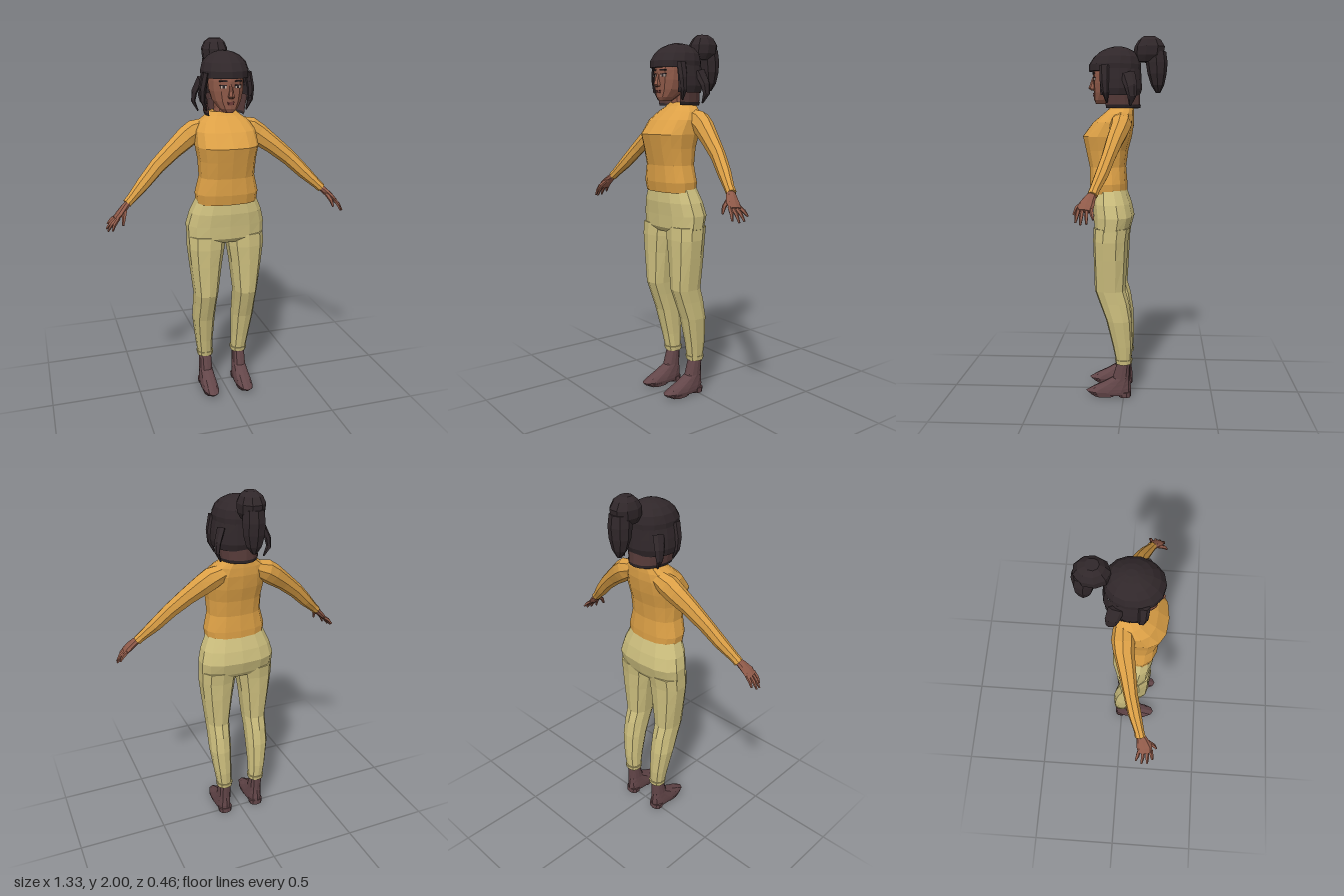
import * as THREE from 'three';

const mat = (name, color, side = THREE.FrontSide) => {
  const m = new THREE.MeshStandardMaterial({ color, side });
  m.name = name;
  return m;
};
const V3 = (x, y, z) => new THREE.Vector3(x, y, z);
const pw = (v, p) => Math.sign(v) * Math.abs(v) ** p;

// Faceted skin through a list of rings; closed rings also get end caps
function skin(rings, closed = true) {
  const out = [], n = rings[0].length;
  const tri = (...pts) => pts.forEach(p => out.push(p.x, p.y, p.z));
  for (let r = 0; r < rings.length - 1; r++) {
    const a = rings[r], b = rings[r + 1];
    for (let i = 0; i < (closed ? n : n - 1); i++) {
      const j = (i + 1) % n;
      tri(a[i], a[j], b[j]);
      tri(a[i], b[j], b[i]);
    }
  }
  if (closed) {
    const cap = (ring, flip) => {
      const c = ring.reduce((s, p) => s.add(p), V3(0, 0, 0)).divideScalar(n);
      ring.forEach((p, i) => {
        const q = ring[(i + 1) % n];
        flip ? tri(c, q, p) : tri(c, p, q);
      });
    };
    cap(rings[0], true);
    cap(rings[rings.length - 1], false);
  }
  const g = new THREE.BufferGeometry();
  g.setAttribute('position', new THREE.Float32BufferAttribute(out, 3));
  g.computeVertexNormals();
  return g;
}

// Level sections [y, centreX, halfWidth, frontZ, backZ], bottom to top; arc > 0 leaves the front open
function levels(rows, n = 12, p = 0.85, arc = 0) {
  return skin(rows.map(([y, cx, w, f, b]) => {
    const count = arc ? n + 1 : n, ring = [];
    for (let i = 0; i < count; i++) {
      const a = arc + (i / n) * (Math.PI * 2 - 2 * arc);
      ring.push(V3(cx + w * pw(Math.sin(a), p), y, (f + b) / 2 + (f - b) / 2 * pw(Math.cos(a), p)));
    }
    return ring;
  }), !arc);
}

// Limb along a path of [x, y, z, radius toward ref, other radius]
function limb(rows, n = 8, ref = V3(0, 0, 1)) {
  const pts = rows.map(r => V3(r[0], r[1], r[2]));
  return skin(rows.map((r, k) => {
    const t = pts[Math.min(k + 1, pts.length - 1)].clone().sub(pts[Math.max(k - 1, 0)]).normalize();
    const u = ref.clone().addScaledVector(t, -ref.dot(t)).normalize();
    const v = t.clone().cross(u);
    return Array.from({ length: n }, (_, i) => {
      const a = (i / n) * Math.PI * 2;
      return pts[k].clone().addScaledVector(u, r[3] * Math.cos(a)).addScaledVector(v, r[4] * Math.sin(a));
    });
  }));
}

export function createModel() {
  const model = new THREE.Group();
  const M = {
    skin: mat('skin', 0x8f5a49),
    nape: mat('nape brown', 0x583c3a, THREE.DoubleSide),
    hair: mat('dark hair', 0x30272a, THREE.DoubleSide),
    sweater: mat('mustard sweater', 0xdca046),
    pants: mat('khaki pants', 0xcdbf7e),
    boots: mat('brown boots', 0x634649),
    eyeWhite: mat('eye white', 0xc9b5a8),
    lips: mat('lips', 0x6f3c38),
  };
  const add = (name, geo, m, parent = model) => {
    const mesh = new THREE.Mesh(geo, m);
    mesh.name = name;
    parent.add(mesh);
    return mesh;
  };
  const plate = (name, size, pos, rotY, m) => {
    const mesh = add(name, new THREE.BoxGeometry(...size), m);
    mesh.position.set(...pos);
    mesh.rotation.y = rotY;
  };

  // Torso and hips
  add('sweaterBody', levels([
    [1.155, 0, 0.166, 0.185, -0.015], [1.21, 0, 0.172, 0.195, -0.015], [1.3, 0, 0.15, 0.195, -0.008],
    [1.39, 0, 0.155, 0.215, -0.02], [1.465, 0, 0.168, 0.232, -0.04], [1.54, 0, 0.162, 0.175, -0.052],
    [1.585, 0, 0.135, 0.12, -0.052], [1.615, 0, 0.095, 0.085, -0.05], [1.635, 0, 0.07, 0.07, -0.042],
  ], 14, 0.8), M.sweater);
  add('hips', levels([
    [0.935, 0, 0.19, 0.15, -0.02], [0.96, 0, 0.216, 0.168, -0.035], [1.03, 0, 0.218, 0.172, -0.055],
    [1.1, 0, 0.2, 0.178, -0.04], [1.19, 0, 0.16, 0.17, -0.008],
  ], 14, 0.8), M.pants);

  for (const s of [1, -1]) {
    const side = s > 0 ? 'left' : 'right';
    // Legs
    add(side + 'Leg', levels([
      [0.2, s * 0.103, 0.042, 0.042, -0.042], [0.3, s * 0.11, 0.05, 0.062, -0.05],
      [0.45, s * 0.117, 0.063, 0.098, -0.045], [0.55, s * 0.116, 0.064, 0.135, -0.03],
      [0.62, s * 0.115, 0.067, 0.16, -0.01], [0.8, s * 0.115, 0.09, 0.165, -0.02],
      [0.9, s * 0.112, 0.104, 0.168, -0.025], [0.97, s * 0.108, 0.107, 0.165, -0.035],
    ], 10), M.pants);
    add(side + 'Cuff', levels([
      [0.195, s * 0.103, 0.046, 0.045, -0.046], [0.22, s * 0.103, 0.049, 0.05, -0.05],
    ], 10), M.pants);
    // Boots with a block heel and a slightly lifted toe
    add(side + 'Boot', levels([
      [0.012, s * 0.103, 0.043, 0.195, -0.04], [0.03, s * 0.103, 0.047, 0.215, -0.042],
      [0.05, s * 0.103, 0.046, 0.18, -0.042], [0.078, s * 0.103, 0.042, 0.12, -0.038],
      [0.11, s * 0.103, 0.038, 0.062, -0.034], [0.2, s * 0.103, 0.036, 0.036, -0.038],
    ], 12), M.boots);
    add(side + 'Heel', levels([
      [0, s * 0.103, 0.04, 0.03, -0.042], [0.03, s * 0.103, 0.043, 0.035, -0.042],
    ], 10), M.boots);
    add(side + 'Sole', levels([
      [0, s * 0.103, 0.04, 0.17, 0.05], [0.02, s * 0.103, 0.045, 0.2, 0.045],
    ], 10), M.boots);

    // Sleeves
    add(side + 'Sleeve', limb([
      [s * 0.09, 1.555, 0.01, 0.05, 0.045], [s * 0.155, 1.53, 0.012, 0.058, 0.062],
      [s * 0.2, 1.5, 0.018, 0.052, 0.06], [s * 0.28, 1.44, 0.04, 0.044, 0.05],
      [s * 0.37, 1.365, 0.063, 0.036, 0.043], [s * 0.45, 1.285, 0.09, 0.034, 0.037],
      [s * 0.52, 1.218, 0.118, 0.026, 0.026], [s * 0.545, 1.195, 0.126, 0.027, 0.025],
    ]), M.sweater);

    // Hands
    const hand = new THREE.Group();
    hand.name = side + 'Hand';
    model.add(hand);
    add('palm', limb([
      [s * 0.53, 1.207, 0.122, 0.018, 0.016], [s * 0.56, 1.18, 0.138, 0.03, 0.018],
      [s * 0.59, 1.15, 0.152, 0.04, 0.017], [s * 0.612, 1.128, 0.157, 0.036, 0.013],
    ]), M.skin, hand);
    [[0.128, 0.65, 1.092, 0.112], [0.148, 0.66, 1.073, 0.143],
      [0.168, 0.656, 1.068, 0.172], [0.186, 0.635, 1.075, 0.198]].forEach(([z, x, y, tip]) =>
      add('finger', limb([
        [s * 0.6, 1.138, z, 0.01, 0.01], [s * (0.61 + x) / 2, (1.14 + y) / 2, (z + tip) / 2, 0.01, 0.01],
        [s * x, y, tip, 0.005, 0.005],
      ], 5), M.skin, hand));
    add('thumb', limb([
      [s * 0.562, 1.172, 0.155, 0.012, 0.014], [s * 0.575, 1.138, 0.198, 0.011, 0.011],
      [s * 0.582, 1.105, 0.213, 0.006, 0.006],
    ], 5, V3(0, 1, 0)), M.skin, hand);

    // Eyes and brows
    plate(side + 'EyeWhite', [0.032, 0.012, 0.008], [s * 0.038, 1.773, 0.164], s * 0.24, M.eyeWhite);
    plate(side + 'Iris', [0.012, 0.013, 0.008], [s * 0.037, 1.773, 0.1655], s * 0.24, M.hair);
    plate(side + 'Lash', [0.037, 0.005, 0.009], [s * 0.039, 1.781, 0.165], s * 0.24, M.hair);
    plate(side + 'Brow', [0.04, 0.007, 0.009], [s * 0.04, 1.802, 0.166], s * 0.24, M.hair);

    // Hair locks beside the face and flared ends behind them
    add(side + 'FrontLock', limb([
      [s * 0.112, 1.84, 0.1, 0.03, 0.018], [s * 0.128, 1.76, 0.1, 0.026, 0.018],
      [s * 0.128, 1.7, 0.095, 0.02, 0.014], [s * 0.108, 1.645, 0.09, 0.004, 0.004],
    ], 6), M.hair);
    add(side + 'FlaredEnd', limb([
      [s * 0.11, 1.8, -0.02, 0.04, 0.015], [s * 0.138, 1.73, -0.04, 0.034, 0.014],
      [s * 0.143, 1.68, -0.045, 0.024, 0.01], [s * 0.12, 1.63, -0.035, 0.006, 0.004],
    ], 6), M.hair);
  }

  // Neck, head and face
  add('neck', levels([[1.58, 0, 0.055, 0.07, -0.03], [1.65, 0, 0.045, 0.075, -0.03],
    [1.74, 0, 0.05, 0.09, -0.03]], 10), M.skin);
  add('head', levels([
    [1.64, 0, 0.025, 0.158, 0.09], [1.662, 0, 0.05, 0.168, 0.06], [1.7, 0, 0.075, 0.17, 0],
    [1.75, 0, 0.088, 0.172, -0.03], [1.8, 0, 0.09, 0.174, -0.05], [1.87, 0, 0.085, 0.16, -0.05],
    [1.91, 0, 0.05, 0.11, -0.02],
  ]), M.skin);
  add('nose', levels([[1.715, 0, 0.014, 0.185, 0.15], [1.726, 0, 0.018, 0.2, 0.15],
    [1.75, 0, 0.011, 0.19, 0.15], [1.785, 0, 0.008, 0.177, 0.15]], 6, 1), M.skin);
  plate('upperLip', [0.034, 0.007, 0.008], [0, 1.695, 0.169], 0, M.lips);
  plate('lowerLip', [0.028, 0.008, 0.008], [0, 1.686, 0.169], 0, M.lips);

  // Hair cap with fringe, open-fronted bob and nape
  add('hairCap', levels([
    [1.815, 0, 0.122, 0.196, -0.088], [1.85, 0, 0.124, 0.196, -0.09], [1.89, 0, 0.112, 0.17, -0.08],
    [1.92, 0, 0.085, 0.135, -0.055], [1.938, 0, 0.05, 0.095, -0.02], [1.946, 0, 0.018, 0.065, 0.01],
  ], 14, 0.95), M.hair);
  add('bob', levels([
    [1.685, 0, 0.128, 0.19, -0.082], [1.72, 0, 0.136, 0.195, -0.095], [1.77, 0, 0.132, 0.195, -0.092],
    [1.825, 0, 0.123, 0.195, -0.089],
  ], 12, 0.95, 1.05), M.hair);
  add('nape', levels([[1.63, 0, 0.104, 0.17, -0.085], [1.72, 0, 0.118, 0.18, -0.085]], 10, 0.95, 1.15), M.nape);
  add('napeHairEdge', levels([[1.618, 0, 0.1, 0.168, -0.085], [1.636, 0, 0.108, 0.172, -0.089]],
    10, 0.95, 1.15), M.hair);

  // High knot and hanging ponytail
  add('hairKnot', levels([
    [1.865, 0, 0.045, -0.06, -0.19], [1.9, 0, 0.066, -0.05, -0.215], [1.945, 0, 0.07, -0.052, -0.222],
    [1.98, 0, 0.055, -0.075, -0.2], [2, 0, 0.03, -0.1, -0.165],
  ], 9, 0.95), M.hair);
  add('ponytail', levels([
    [1.7, 0, 0.012, -0.17, -0.195], [1.74, 0, 0.042, -0.145, -0.215], [1.8, 0, 0.058, -0.125, -0.228],
    [1.86, 0, 0.06, -0.115, -0.233], [1.92, 0, 0.055, -0.11, -0.225],
  ], 8, 0.95), M.hair);

  return model;
}
